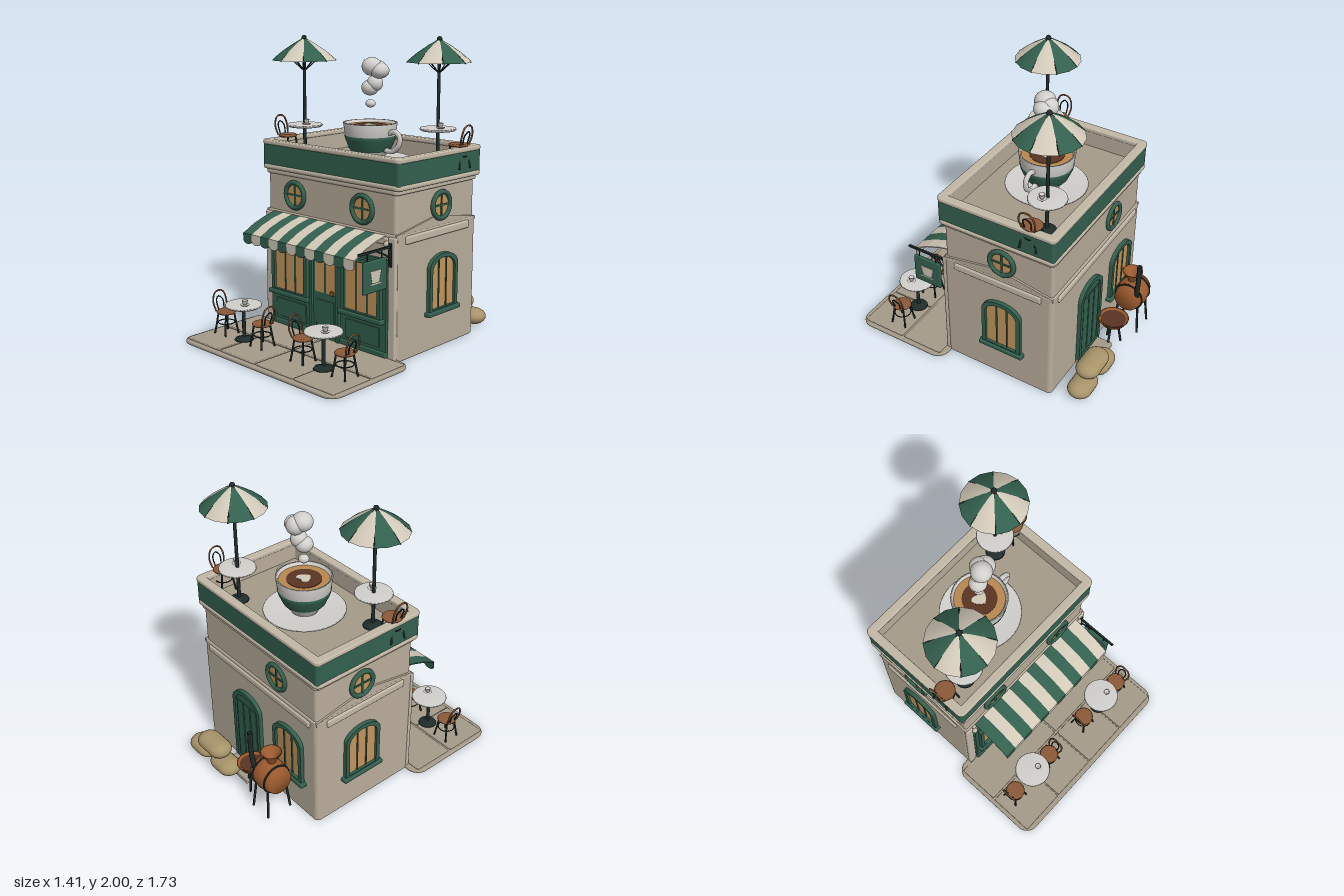
import * as THREE from 'three';
import { RoundedBoxGeometry } from 'three/addons/geometries/RoundedBoxGeometry.js';

const mat = (color) => new THREE.MeshStandardMaterial({ color, side: THREE.DoubleSide });
const M = {
  wall: mat(0xb9ad9b), trim: mat(0xc2b8a7), green: mat(0x33604e), cream: mat(0xd2c9b9), glass: mat(0xc2955c),
  wood: mat(0x8c5a38), copper: mat(0x9c5a2e), dark: mat(0x1f2c2a), sack: mat(0xa8946a), tile: mat(0xa59b8a),
  white: mat(0xd2d0cc), coffee: mat(0x5a3322), crema: mat(0xb98750),
};

function add(parent, name, geo, material, x = 0, y = 0, z = 0) {
  const m = new THREE.Mesh(geo, material);
  m.name = name;
  m.position.set(x, y, z);
  parent.add(m);
  return m;
}
function group(parent, name, x = 0, y = 0, z = 0, ry = 0) {
  const g = new THREE.Group();
  g.name = name;
  g.position.set(x, y, z);
  g.rotation.y = ry;
  parent.add(g);
  return g;
}
const box = (w, h, d) => new THREE.BoxGeometry(w, h, d);
const rbox = (w, h, d, r = 0.008) => new RoundedBoxGeometry(w, h, d, 2, r);
const cyl = (r0, r1, h, n = 24) => new THREE.CylinderGeometry(r0, r1, h, n);
const lathe = (pts, n = 40) => new THREE.LatheGeometry(pts.map((p) => new THREE.Vector2(...p)), n);
const tube = (pts, r, n = 16) =>
  new THREE.TubeGeometry(new THREE.CatmullRomCurve3(pts.map((p) => new THREE.Vector3(...p))), n, r, 6);

// Rounded rectangle as a shape or hole outline
function roundRect(w, d, r) {
  const s = new THREE.Shape(), x = w / 2 - r, y = d / 2 - r;
  s.absarc(x, y, r, 0, Math.PI / 2);
  s.absarc(-x, y, r, Math.PI / 2, Math.PI);
  s.absarc(-x, -y, r, Math.PI, Math.PI * 1.5);
  s.absarc(x, -y, r, Math.PI * 1.5, Math.PI * 2);
  s.closePath();
  return s;
}
// Flat slab with upright extrusion; an inner size makes it a ring
function slab(w, d, r, h, bevel = 0, inner) {
  const s = roundRect(w - 2 * bevel, d - 2 * bevel, r);
  if (inner) s.holes.push(roundRect(inner[0], inner[1], 0.012));
  const g = new THREE.ExtrudeGeometry(s, { depth: h - 2 * bevel, bevelEnabled: bevel > 0, bevelSize: bevel, bevelThickness: bevel, bevelSegments: 3, curveSegments: 6 });
  return g.rotateX(-Math.PI / 2).translate(0, bevel, 0);
}
// Upright outline with an elliptical top
function arch(w, h, rise, y0 = 0) {
  const s = new THREE.Shape();
  s.moveTo(-w / 2, y0);
  s.lineTo(w / 2, y0);
  if (rise) s.lineTo(w / 2, h - rise).absellipse(0, h - rise, w / 2, rise, 0, Math.PI, false);
  else s.lineTo(w / 2, h).lineTo(-w / 2, h);
  s.closePath();
  return s;
}
const extrude = (s, depth) => new THREE.ExtrudeGeometry(s, { depth, bevelEnabled: false, curveSegments: 16 });

// Framed window facing +z, standing on its origin
function archWindow(parent, name, w, h, rise, bars, x, y, z, ry, sill = true) {
  const g = group(parent, name, x, y, z, ry), f = 0.028;
  const frame = arch(w, h, rise);
  frame.holes.push(arch(w - 2 * f, h - f, rise && rise - f * 0.4, f));
  add(g, 'frame', extrude(frame, 0.03), M.green);
  add(g, 'glass', extrude(arch(w - f, h - f / 2, rise, f / 2), 0.012), M.glass);
  for (let i = 1; i <= bars; i++) {
    const bx = (i / (bars + 1) - 0.5) * (w - 2 * f);
    add(g, 'bar', box(0.009, h - f, 0.02), M.green, bx, h / 2 - 0.004, 0.008);
  }
  if (sill) add(g, 'sill', rbox(w + 0.04, 0.03, 0.05), M.green, 0, 0.005, 0.02);
}
function roundWindow(parent, x, y, z, ry) {
  const g = group(parent, 'roundWindow', x, y, z, ry);
  add(g, 'frame', new THREE.TorusGeometry(0.086, 0.016, 10, 32), M.green, 0, 0, 0.008);
  add(g, 'glass', cyl(0.085, 0.085, 0.012, 32).rotateX(Math.PI / 2), M.glass);
  add(g, 'bar', box(0.012, 0.165, 0.024), M.green);
  add(g, 'bar', box(0.165, 0.012, 0.024), M.green);
}
// Bistro chair with its back towards +x
function chair(parent, x, y, z, ry) {
  const g = group(parent, 'chair', x, y, z, ry);
  add(g, 'seat', lathe([[0, 0.143], [0.058, 0.143], [0.066, 0.152], [0.058, 0.162], [0, 0.158]], 24), M.wood);
  for (const sx of [-1, 1]) for (const sz of [-1, 1])
    add(g, 'leg', tube([[sx * 0.038, 0.145, sz * 0.036], [sx * 0.046, 0.07, sz * 0.046], [sx * 0.056, 0, sz * 0.056]], 0.0065, 6), M.dark);
  add(g, 'legRing', new THREE.TorusGeometry(0.056, 0.004, 6, 20).rotateX(Math.PI / 2), M.dark, 0, 0.08, 0);
  for (const [k, top] of [[1, 0.285], [0.5, 0.245]])
    add(g, 'backHoop', tube([[0.05, 0.155, 0.045 * k], [0.067, 0.215, 0.055 * k], [0.076, top - 0.012, 0.035 * k], [0.078, top, 0],
      [0.076, top - 0.012, -0.035 * k], [0.067, 0.215, -0.055 * k], [0.05, 0.155, -0.045 * k]], 0.006 * (0.6 + 0.4 * k)), k === 1 ? M.wood : M.dark);
}
function table(parent, x, y, z) {
  const g = group(parent, 'table', x, y, z);
  add(g, 'top', lathe([[0, 0.228], [0.11, 0.228], [0.122, 0.236], [0.118, 0.246], [0, 0.246]], 32), M.white);
  add(g, 'column', cyl(0.012, 0.012, 0.23, 10), M.dark, 0, 0.115, 0);
  add(g, 'base', lathe([[0, 0], [0.065, 0], [0.06, 0.01], [0.015, 0.025], [0, 0.026]], 24), M.dark);
  add(g, 'smallSaucer', cyl(0.03, 0.022, 0.007, 20), M.white, 0.035, 0.25, 0.018);
  add(g, 'smallCup', lathe([[0, 0.252], [0.012, 0.252], [0.02, 0.282], [0.017, 0.282], [0.013, 0.272], [0, 0.272]], 16), M.white, 0.035, 0, 0.018);
}
function umbrella(parent, x, y, z) {
  const g = group(parent, 'umbrella', x, y, z);
  add(g, 'pole', cyl(0.011, 0.011, 0.82, 10), M.dark, 0, 0.41, 0);
  const profile = [[0.004, 0.822], [0.07, 0.785], [0.14, 0.738], [0.213, 0.675]].map((p) => new THREE.Vector2(...p));
  for (let i = 0; i < 8; i++) {
    const a = (i * Math.PI) / 4, s = Math.sin(a), c = Math.cos(a);
    add(g, 'canopyPanel', new THREE.LatheGeometry(profile, 2, a, Math.PI / 4), i % 2 ? M.green : M.cream);
    add(g, 'rib', tube([[0, 0.822, 0], [s * 0.14, 0.733, c * 0.14], [s * 0.212, 0.672, c * 0.212]], 0.004, 6), M.dark);
    add(g, 'strut', tube([[s * 0.01, 0.61, c * 0.01], [s * 0.14, 0.728, c * 0.14]], 0.0035, 2), M.dark);
  }
  add(g, 'finial', new THREE.SphereGeometry(0.018, 12, 8), M.dark, 0, 0.822, 0);
}

export function createModel() {
  const root = new THREE.Group();
  root.name = 'coffeeShop';
  const ZC = -0.215, FRONT = 0.185, BACK = -0.615, SIDE = 0.59;

  // Pavement with inset tiles
  const pave = group(root, 'pavement');
  add(pave, 'slab', slab(1.41, 0.7, 0.08, 0.022, 0.008), M.tile, 0, 0, 0.515);
  for (const i of [-1.5, -0.5, 0.5, 1.5]) add(pave, 'smallTile', rbox(0.332, 0.016, 0.315, 0.006), M.tile, i * 0.341, 0.024, 0.675);
  for (const s of [-1, 1]) add(pave, 'largeTile', rbox(0.67, 0.016, 0.3, 0.006), M.tile, s * 0.341, 0.024, 0.352);

  // Walls, side gables and string mouldings
  const walls = group(root, 'walls');
  add(walls, 'lowerWall', slab(1.18, 0.805, 0.02, 0.825, 0.012), M.wall, 0, 0, ZC);
  add(walls, 'upperWall', slab(1.15, 0.785, 0.02, 0.35), M.wall, 0, 0.78, ZC);
  const gable = new THREE.Shape([[-0.4, 0], [0.4, 0], [0.4, 0.02], [0, 0.09], [-0.4, 0.02]].map((p) => new THREE.Vector2(...p)));
  for (const s of [-1, 1]) {
    add(walls, 'gable', extrude(gable, 0.014), M.wall, s * 0.574, 0.8, ZC).rotation.y = (s * Math.PI) / 2;
    add(walls, 'sideMoulding', rbox(0.03, 0.055, 0.64, 0.014), M.trim, s * 0.587, 0.78, ZC);
    add(walls, 'frontPilaster', rbox(0.06, 0.8, 0.03, 0.01), M.trim, s * 0.56, 0.41, 0.185);
  }
  for (const z of [FRONT, BACK]) add(walls, 'moulding', rbox(1.06, 0.05, 0.03, 0.014), M.trim, 0, 0.78, z);

  // Parapet and roof deck
  const top = group(root, 'parapet', 0, 0, ZC);
  add(top, 'cornice', slab(1.19, 0.81, 0.02, 0.035, 0.012), M.trim, 0, 1.07, 0);
  add(top, 'lowerCap', slab(1.24, 0.84, 0.03, 0.035, 0.014), M.trim, 0, 1.1, 0);
  add(top, 'greenBand', slab(1.225, 0.825, 0.02, 0.15, 0, [1.14, 0.74]), M.green, 0, 1.125, 0);
  add(top, 'innerLining', slab(1.16, 0.76, 0.02, 0.15, 0, [1.13, 0.73]), M.wall, 0, 1.13, 0);
  add(top, 'upperCap', slab(1.24, 0.84, 0.03, 0.032, 0.01, [1.14, 0.74]), M.trim, 0, 1.268, 0);
  add(top, 'roofDeck', box(1.15, 0.04, 0.75), M.tile, 0, 1.14, 0);

  // Shop front
  const shop = group(root, 'shopFront');
  add(shop, 'panel', box(1.05, 0.64, 0.03), M.green, 0, 0.345, 0.192);
  add(shop, 'plinth', rbox(1.06, 0.04, 0.04), M.green, 0, 0.045, 0.2);
  for (const s of [-1, 1]) {
    archWindow(shop, 'shopWindow', 0.34, 0.385, 0, 2, s * 0.328, 0.258, 0.205, 0);
    add(shop, 'lowerPanel', rbox(0.29, 0.13, 0.014, 0.005), M.green, s * 0.328, 0.15, 0.208);
    roundWindow(root, s * 0.305, 0.95, 0.182, 0);
    roundWindow(root, s * 0.58, 0.95, -0.25, (s * Math.PI) / 2);
    archWindow(root, 'sideWindow', 0.285, 0.39, 0.09, 2, s * 0.588, 0.25, -0.255, (s * Math.PI) / 2);
  }
  const doorFrame = arch(0.27, 0.645, 0.08);
  doorFrame.holes.push(arch(0.22, 0.62, 0.075));
  add(shop, 'doorFrame', extrude(doorFrame, 0.03), M.green, 0, 0.02, 0.2);
  add(shop, 'door', extrude(arch(0.225, 0.62, 0.075), 0.012), M.green, 0, 0.02, 0.2);
  add(shop, 'doorGlass', extrude(arch(0.185, 0.28, 0.07), 0.006), M.glass, 0, 0.34, 0.209);
  add(shop, 'doorBar', box(0.008, 0.28, 0.012), M.green, 0, 0.48, 0.212);
  add(shop, 'doorPanel', rbox(0.16, 0.2, 0.014, 0.005), M.green, 0, 0.19, 0.21);
  add(shop, 'doorHandle', new THREE.TorusGeometry(0.015, 0.005, 8, 16), M.copper, 0.068, 0.35, 0.22);

  // Striped awning with a scalloped valance
  const awning = group(root, 'awning');
  const W = 1.008 / 12, prof = [[0.19, 0.815], [0.28, 0.795], [0.38, 0.76], [0.475, 0.71]];
  const scallop = new THREE.Shape();
  scallop.moveTo(W / 2, 0).lineTo(W / 2, -0.045).absellipse(0, -0.045, W / 2, 0.025, 0, -Math.PI, true);
  scallop.lineTo(-W / 2, 0);
  for (let i = 0; i < 12; i++) {
    const x = (i - 5.5) * W, m = i % 2 ? M.cream : M.green;
    const s = new THREE.Shape([...prof, ...prof.map(([z, y]) => [z, y - 0.008]).reverse()].map((p) => new THREE.Vector2(...p)));
    add(awning, 'stripe', extrude(s, W).rotateY(-Math.PI / 2).translate(W / 2, 0, 0), m, x, 0, 0);
    add(awning, 'valance', extrude(scallop, 0.007), m, x, 0.712, 0.47);
  }
  for (const s of [-1, 1]) add(awning, 'endKnob', new THREE.SphereGeometry(0.02, 12, 8), M.trim, s * 0.525, 0.765, 0.205);

  // Hanging sign on a bracket
  const sign = group(root, 'hangingSign', 0.553, 0, 0);
  add(sign, 'arm', box(0.014, 0.014, 0.31), M.dark, 0, 0.755, 0.335);
  add(sign, 'brace', tube([[0, 0.63, 0.2], [0, 0.69, 0.22], [0, 0.75, 0.33]], 0.006), M.dark);
  add(sign, 'wallPlate', box(0.025, 0.15, 0.014), M.dark, 0, 0.7, 0.2);
  for (const z of [0.28, 0.41]) add(sign, 'hanger', cyl(0.004, 0.004, 0.06, 6), M.dark, 0, 0.725, z);
  add(sign, 'board', rbox(0.024, 0.2, 0.205), M.green, 0, 0.6, 0.347);
  for (const s of [-1, 1]) {
    add(sign, 'cupRelief', cyl(0.05, 0.032, 0.075, 20).scale(0.08, 1, 1), M.cream, s * 0.012, 0.6, 0.347);
    add(sign, 'saucerRelief', box(0.006, 0.008, 0.1), M.cream, s * 0.012, 0.555, 0.347);
  }

  // Rear door, window, step
  const rear = group(root, 'rearWall', 0, 0, BACK, Math.PI);
  archWindow(rear, 'rearDoorFrame', 0.29, 0.62, 0.1, 0, -0.11, 0.02, 0, 0, false);
  add(rear, 'rearDoor', extrude(arch(0.24, 0.6, 0.08), 0.018), M.green, -0.11, 0.02, 0);
  for (const i of [-1, 0, 1]) add(rear, 'doorPlank', rbox(0.065, 0.48, 0.014, 0.004), M.green, -0.11 + i * 0.072, 0.3, 0.018);
  add(rear, 'step', rbox(0.27, 0.04, 0.14), M.tile, -0.12, 0.02, 0.07);
  archWindow(rear, 'rearWindow', 0.285, 0.39, 0.09, 2, 0.32, 0.25, 0, 0);
  roundWindow(rear, 0.2, 0.95, -0.01, 0);

  // Coffee roaster with hopper, flue and cooling tray
  const roaster = group(root, 'roaster', -0.29, 0, -0.755);
  const drum = [[0, -0.105], [0.085, -0.105], [0.1, -0.05], [0.108, 0], [0.1, 0.05], [0.085, 0.105], [0, 0.105]];
  add(roaster, 'drum', lathe(drum, 28).rotateZ(Math.PI / 2), M.copper, 0, 0.295, 0);
  for (const x of [-0.06, 0.06]) {
    add(roaster, 'hoop', new THREE.TorusGeometry(0.099, 0.006, 6, 28).rotateY(Math.PI / 2), M.dark, x, 0.295, 0);
    for (const s of [-1, 1]) add(roaster, 'leg', tube([[x, 0.24, s * 0.07], [x * 1.3, 0.02, s * 0.09]], 0.008, 2), M.dark);
  }
  add(roaster, 'hopper', lathe([[0.025, 0.38], [0.03, 0.41], [0.07, 0.475], [0.062, 0.475], [0.018, 0.41], [0, 0.41]], 24), M.copper, 0, 0, 0.012);
  add(roaster, 'flue', tube([[0.07, 0.3, -0.06], [0.09, 0.4, -0.07], [0.095, 0.5, -0.075], [0.095, 0.62, -0.075]], 0.018), M.dark);
  const tray = group(root, 'coolingTray', -0.06, 0, -0.73);
  add(tray, 'pan', lathe([[0, 0.19], [0.085, 0.19], [0.105, 0.222], [0.096, 0.222], [0.08, 0.205], [0, 0.205]], 28), M.copper);
  add(tray, 'beans', cyl(0.085, 0.085, 0.006, 24), M.coffee, 0, 0.21, 0);
  for (let i = 0; i < 3; i++) {
    const a = (i * Math.PI * 2) / 3;
    add(tray, 'leg', tube([[0.03 * Math.cos(a), 0.19, 0.03 * Math.sin(a)], [0.06 * Math.cos(a), 0.01, 0.06 * Math.sin(a)]], 0.008, 2), M.dark);
  }

  // Stacked bean sacks
  for (const [x, y, len] of [[0.2, 0.058, 0.24], [0.445, 0.058, 0.24], [0.32, 0.148, 0.28]])
    add(root, 'beanSack', new THREE.CapsuleGeometry(0.08, len - 0.16, 8, 20).rotateZ(Math.PI / 2).scale(1, 0.7, 1.03), M.sack, x, y, -0.775);

  // Giant coffee cup on the roof, with steam
  const cup = group(root, 'giantCup', 0, 0, -0.22);
  add(cup, 'saucer', lathe([[0, 1.162], [0.14, 1.162], [0.268, 1.19], [0.262, 1.197], [0.15, 1.178], [0, 1.178]], 48), M.white);
  add(cup, 'bowl', lathe([[0, 1.175], [0.085, 1.175], [0.09, 1.19], [0.135, 1.25], [0.165, 1.32], [0.182, 1.43], [0.168, 1.43], [0.15, 1.37], [0, 1.36]], 48), M.white);
  add(cup, 'greenStripe', lathe([[0.131, 1.242], [0.138, 1.25], [0.168, 1.32], [0.173, 1.345], [0.165, 1.345]], 48), M.green);
  add(cup, 'crema', cyl(0.163, 0.16, 0.01, 40), M.crema, 0, 1.405, 0);
  add(cup, 'coffee', cyl(0.112, 0.112, 0.006, 40), M.coffee, 0, 1.41, 0);
  const foam = new THREE.Shape();
  foam.moveTo(0, -0.05).bezierCurveTo(0.08, 0, 0.05, 0.06, 0, 0.025).bezierCurveTo(-0.05, 0.06, -0.08, 0, 0, -0.05);
  add(cup, 'foamHeart', extrude(foam, 0.004).rotateX(-Math.PI / 2), M.cream, 0, 1.412, 0);
  add(cup, 'handle', tube([[0.165, 1.37, 0], [0.215, 1.385, 0], [0.255, 1.355, 0], [0.25, 1.3, 0], [0.2, 1.255, 0], [0.135, 1.255, 0]], 0.018, 24), M.white);
  const steam = [[0, 1.555, 0, 0.034, 0.8], [-0.005, 1.66, 0, 0.058, 0.9], [0.025, 1.69, -0.015, 0.055, 1], [0.02, 1.8, 0.01, 0.068, 0.9], [0.07, 1.775, -0.01, 0.065, 0.8], [0.04, 1.78, -0.03, 0.06, 1]];
  for (const [x, y, z, r, k] of steam) add(cup, 'steamPuff', new THREE.SphereGeometry(r, 20, 14).scale(1, k, 1), M.white, x, y, z);

  // Furniture on the pavement and on the roof
  for (const s of [-1, 1]) {
    table(root, s * 0.37, 0.03, 0.6);
    chair(root, s * 0.55, 0.03, 0.6, s > 0 ? 0 : Math.PI);
    chair(root, s * 0.19, 0.03, 0.6, s > 0 ? Math.PI : 0);
    const z = s < 0 ? 0.01 : -0.45;
    table(root, s * 0.39, 1.16, z);
    umbrella(root, s * 0.39, 1.16, z);
    chair(root, s * 0.56, 1.16, z, s > 0 ? 0 : Math.PI);
  }
  return root;
}
